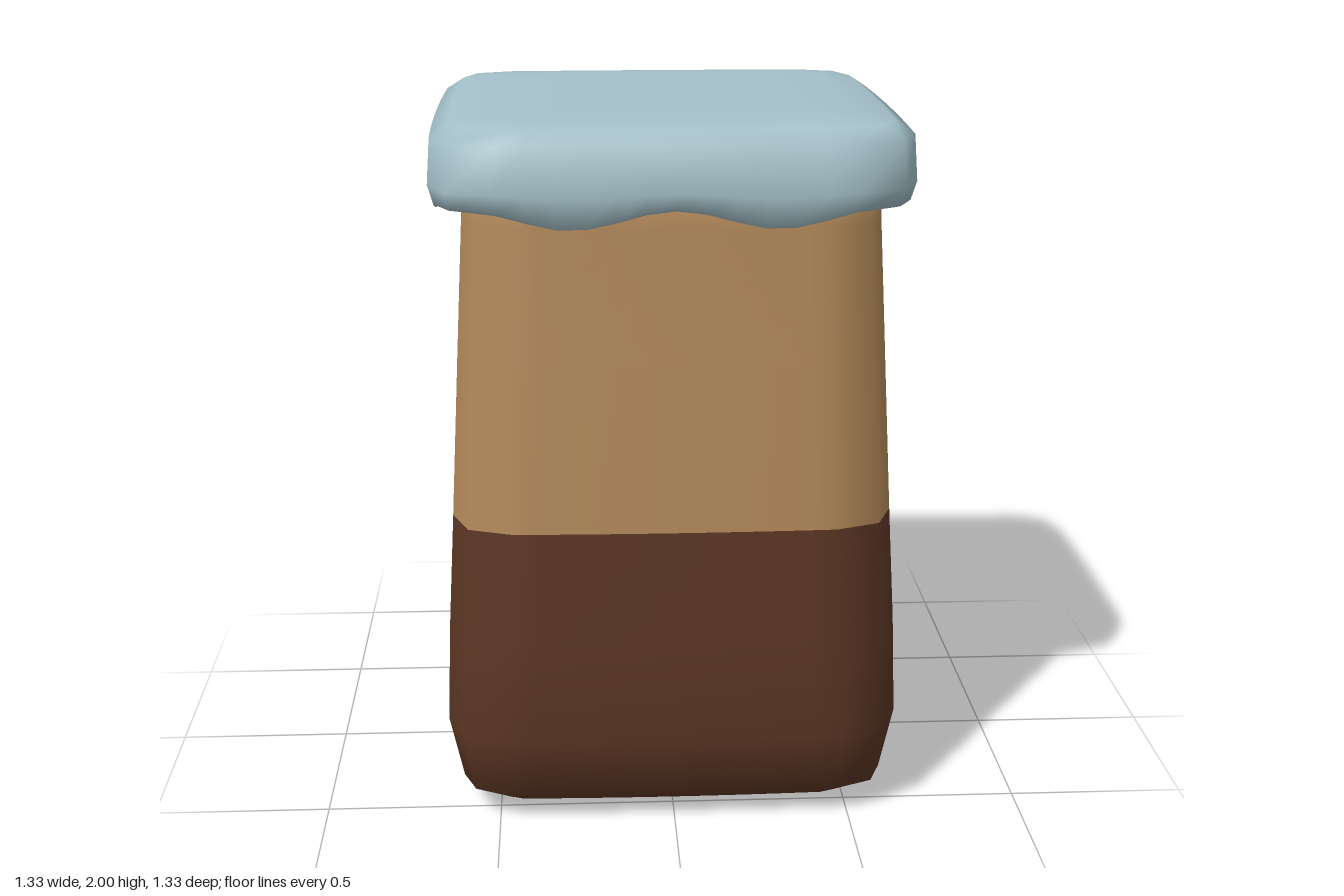
import * as THREE from 'three';

const SEGS = 12; // steps along each straight side

// One rounded-square ring: half width h, corner size r, height y, scallop strength w
function ring({ h, r, y, w = 0, bulge = 0.008 }) {
  const a = h - r, k = 0.28 * r, pts = [];
  const wave = s => y + w * Math.cos((Math.PI * 2 * s) / 0.55);
  for (let side = 0; side < 4; side++) {
    const local = [];
    for (let i = 0; i <= SEGS; i++) {
      const f = (i / SEGS) * 2 - 1;
      local.push([f * a, h + bulge * (1 - f * f), wave(f * a)]);
    }
    local.push([h - k, h - k, wave(h - k)]);
    for (let [x, z, py] of local) {
      for (let t = 0; t < side; t++) [x, z] = [z, -x];
      pts.push([x, py, z]);
    }
  }
  return pts;
}

// Skin a stack of rings from bottom to top, with optional centre points closing the ends.
// The material index of each band comes from bandMaterial(band).
function loft(rings, bottomY, topY, bandMaterial = () => 0) {
  const rows = rings.map(ring), n = rows[0].length;
  const pos = rows.flat(2), idx = [];
  const geo = new THREE.BufferGeometry();
  const close = (row, y, flip) => {
    const c = pos.length / 3;
    pos.push(0, y, 0);
    for (let i = 0; i < n; i++) {
      const p = row * n + i, q = row * n + ((i + 1) % n);
      if (flip) idx.push(c, q, p);
      else idx.push(c, p, q);
    }
  };
  const group = (start, m) => geo.addGroup(start, idx.length - start, m);
  if (bottomY !== null) {
    close(0, bottomY, true);
    group(0, bandMaterial(0));
  }
  for (let b = 0; b < rows.length - 1; b++) {
    const start = idx.length;
    for (let i = 0; i < n; i++) {
      const j = (i + 1) % n, p = b * n, q = p + n;
      idx.push(p + i, p + j, q + j, p + i, q + j, q + i);
    }
    group(start, bandMaterial(b));
  }
  const start = idx.length;
  close(rows.length - 1, topY, false);
  group(start, bandMaterial(rows.length - 2));
  geo.setAttribute('position', new THREE.Float32BufferAttribute(pos, 3));
  geo.setIndex(idx);
  geo.computeVertexNormals();
  return geo;
}

function material(name, color) {
  const m = new THREE.MeshStandardMaterial({ color });
  m.name = name;
  return m;
}

export function createModel() {
  const model = new THREE.Group();
  model.name = 'jar';
  const darkBrown = material('dark brown', 0x5c3624);
  const tan = material('tan', 0xb48a5a);
  const paleBlue = material('pale blue', 0xa5c1ca);

  // Tapered jar body, dark below and tan above the fill line
  const body = new THREE.Mesh(
    loft([
      { h: 0.3, r: 0.02, y: 0.0, bulge: 0 },
      { h: 0.485, r: 0.05, y: 0.012 },
      { h: 0.605, r: 0.13, y: 0.09 },
      { h: 0.645, r: 0.17, y: 0.27 },
      { h: 0.635, r: 0.17, y: 0.55 },
      { h: 0.617, r: 0.17, y: 0.88 },
      { h: 0.592, r: 0.16, y: 1.35 },
      { h: 0.572, r: 0.15, y: 1.72 },
      { h: 0.57, r: 0.15, y: 1.88 },
    ], 0, 1.88, b => (b < 5 ? 0 : 1)),
    [darkBrown, tan],
  );
  body.name = 'body';

  // Soft lid with a scalloped hem that tucks back under to the body
  const lid = new THREE.Mesh(
    loft([
      { h: 0.55, r: 0.15, y: 1.84 },
      { h: 0.6, r: 0.16, y: 1.765, w: 0.022 },
      { h: 0.642, r: 0.17, y: 1.755, w: 0.025 },
      { h: 0.657, r: 0.175, y: 1.82, w: 0.006 },
      { h: 0.648, r: 0.17, y: 1.95 },
      { h: 0.595, r: 0.14, y: 1.986 },
      { h: 0.48, r: 0.06, y: 1.997 },
      { h: 0.3, r: 0.03, y: 2.0, bulge: 0 },
    ], null, 2.0),
    paleBlue,
  );
  lid.name = 'lid';

  model.add(body, lid);
  return model;
}
